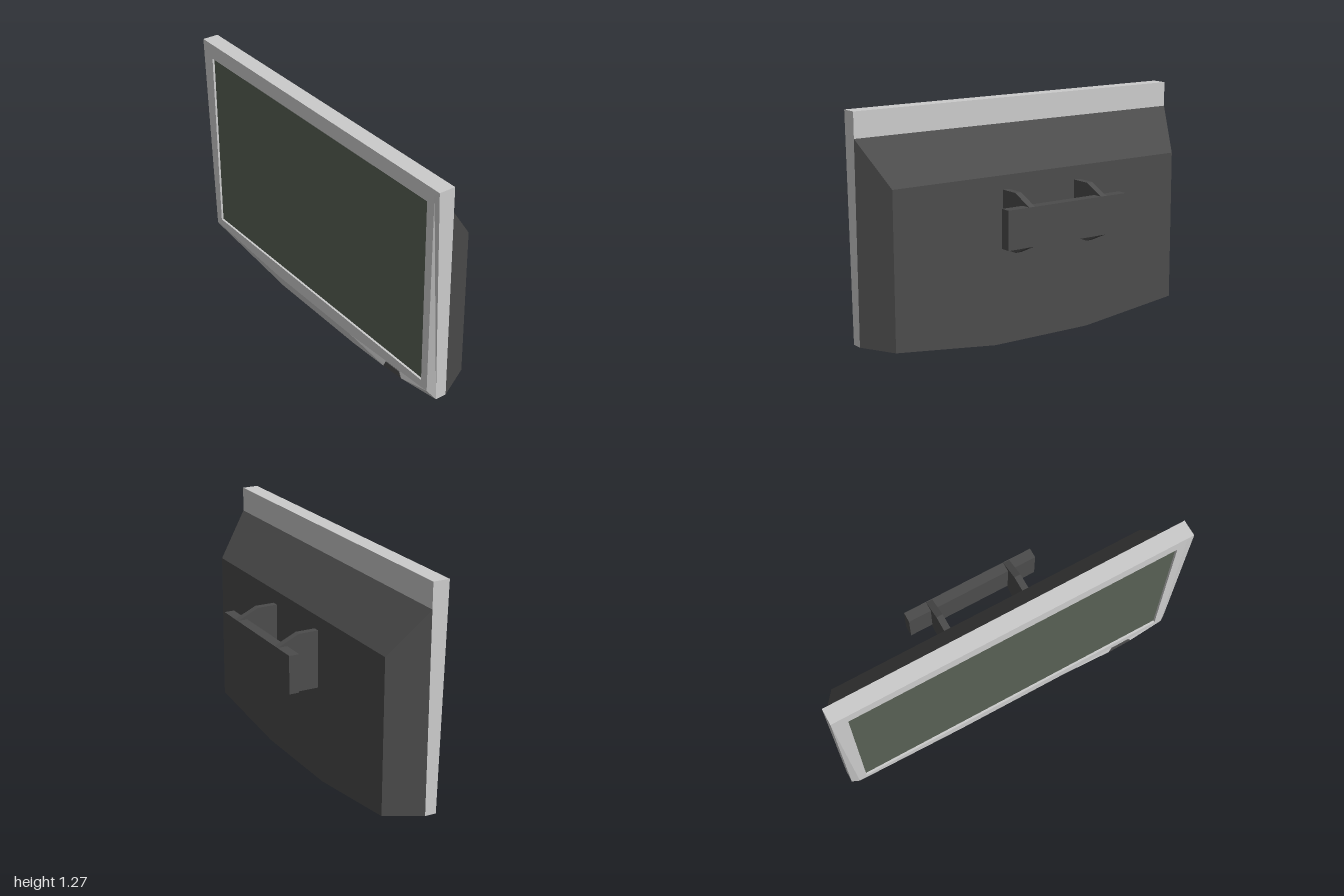
import * as THREE from 'three';

const grey = new THREE.MeshStandardMaterial({ color: 0xcccccc, flatShading: true });
const dark = new THREE.MeshStandardMaterial({ color: 0x4c4c4c, flatShading: true });
const glass = new THREE.MeshStandardMaterial({ color: 0x586054, flatShading: true });

// Flat-shaded geometry from convex polygons, corners counter-clockwise
function facets(polys) {
  const pos = [];
  for (const p of polys)
    for (let i = 1; i < p.length - 1; i++) pos.push(...p[0], ...p[i], ...p[i + 1]);
  const g = new THREE.BufferGeometry();
  g.setAttribute('position', new THREE.Float32BufferAttribute(pos, 3));
  g.computeVertexNormals();
  return g;
}

// Walls joining two loops with the same number of points
const loft = (a, b) => a.map((p, i) => {
  const j = (i + 1) % a.length;
  return [p, a[j], b[j], b[i]];
});

// Mirrored six-point outline: low corner, bottom flat, top corner
const outline = (xs, ys, xm, ym, xt, yt) =>
  [[-xs, ys], [-xm, ym], [xm, ym], [xs, ys], [xt, yt], [-xt, yt]];
const at = (loop, z) => loop.map(([x, y]) => [x, y, z]);

function add(parent, name, geometry, material) {
  const m = new THREE.Mesh(geometry, material);
  m.name = name;
  parent.add(m);
  return m;
}

export function createModel() {
  const model = new THREE.Group();
  model.name = 'television';
  const front = 0.253, seam = 0.163, lowFront = 0.225, back = -0.025;

  // Bezel: sides, a chamfer that deepens downwards, and the screen recess
  const bezel = new THREE.Group();
  bezel.name = 'bezel';
  model.add(bezel);
  const rim = outline(1, 0.07, 0.33, 0, 1, 1.27);
  const face = outline(0.96, 0.11, 0.33, 0.075, 0.965, 1.24);
  const rimBack = at(rim, seam);
  const rimFront = rim.map(([x, y]) => [x, y, y > 1 ? front : lowFront]);
  const opening = [[-0.915, 0.15], [0.915, 0.15], [0.915, 1.185], [-0.915, 1.185]];
  add(bezel, 'bezelShell', facets([
    ...loft(rimBack, rimFront),
    ...loft(rimFront, at(face, front)),
    ...loft(at(opening, front), at(opening, front - 0.012)),
    [...rimBack].reverse(),
  ]), grey);
  const shape = new THREE.Shape(face.map(([x, y]) => new THREE.Vector2(x, y)));
  shape.holes.push(new THREE.Path(opening.map(([x, y]) => new THREE.Vector2(x, y))));
  add(bezel, 'bezelFace', new THREE.ShapeGeometry(shape).translate(0, 0, front), grey);

  // Screen
  add(model, 'screen', facets([at(opening, front - 0.012)]), glass);

  // Control bulge on the lower left of the bezel, with its button panel
  const A = [0.33, 0, lowFront], B = [0.33, 0.075, front], C = [0.96, 0.11, front];
  const D = [1, 0.07, lowFront], E = [0.62, 0.053, 0.257], F = [0.765, 0.064, 0.257];
  add(bezel, 'controlBulge',
    facets([[A, D, F, E], [A, E, B], [B, E, F, C], [C, F, D]]), grey);
  const panel = [[0.62, 0.054], [0.765, 0.065], [0.745, 0.096], [0.64, 0.092]];
  add(model, 'buttonPanel',
    facets([...loft(at(panel, 0.245), at(panel, 0.258)), at(panel, 0.258)]), dark);

  // Rear housing tapering towards the back
  const rear = at(outline(0.9, 0.07, 0.3, 0, 0.9, 0.9), back);
  add(model, 'rearHousing', facets([
    ...loft(rear, at(outline(1, 0.07, 0.33, 0, 1, 1.135), seam)),
    [...rear].reverse(),
  ]), dark);

  // Wall mount: two tapered arms and a plate
  const mount = new THREE.Group();
  mount.name = 'wallMount';
  model.add(mount);
  const profile = [[0.02, 0.512], [0.135, 0.512], [0.255, 0.565],
    [0.255, 0.77], [0.135, 0.825], [0.02, 0.825]];
  const armShape = new THREE.Shape(profile.map(([d, y]) => new THREE.Vector2(d, y)));
  for (const side of [-1, 1]) {
    const arm = new THREE.ExtrudeGeometry(armShape, { depth: 0.036, bevelEnabled: false });
    arm.translate(0, 0, -0.018).rotateY(Math.PI / 2).translate(side * 0.23, 0, 0);
    add(mount, side > 0 ? 'leftArm' : 'rightArm', arm, dark);
  }
  add(mount, 'mountPlate',
    new THREE.BoxGeometry(0.752, 0.206, 0.056).translate(0, 0.6675, -0.229), dark);

  return model;
}
